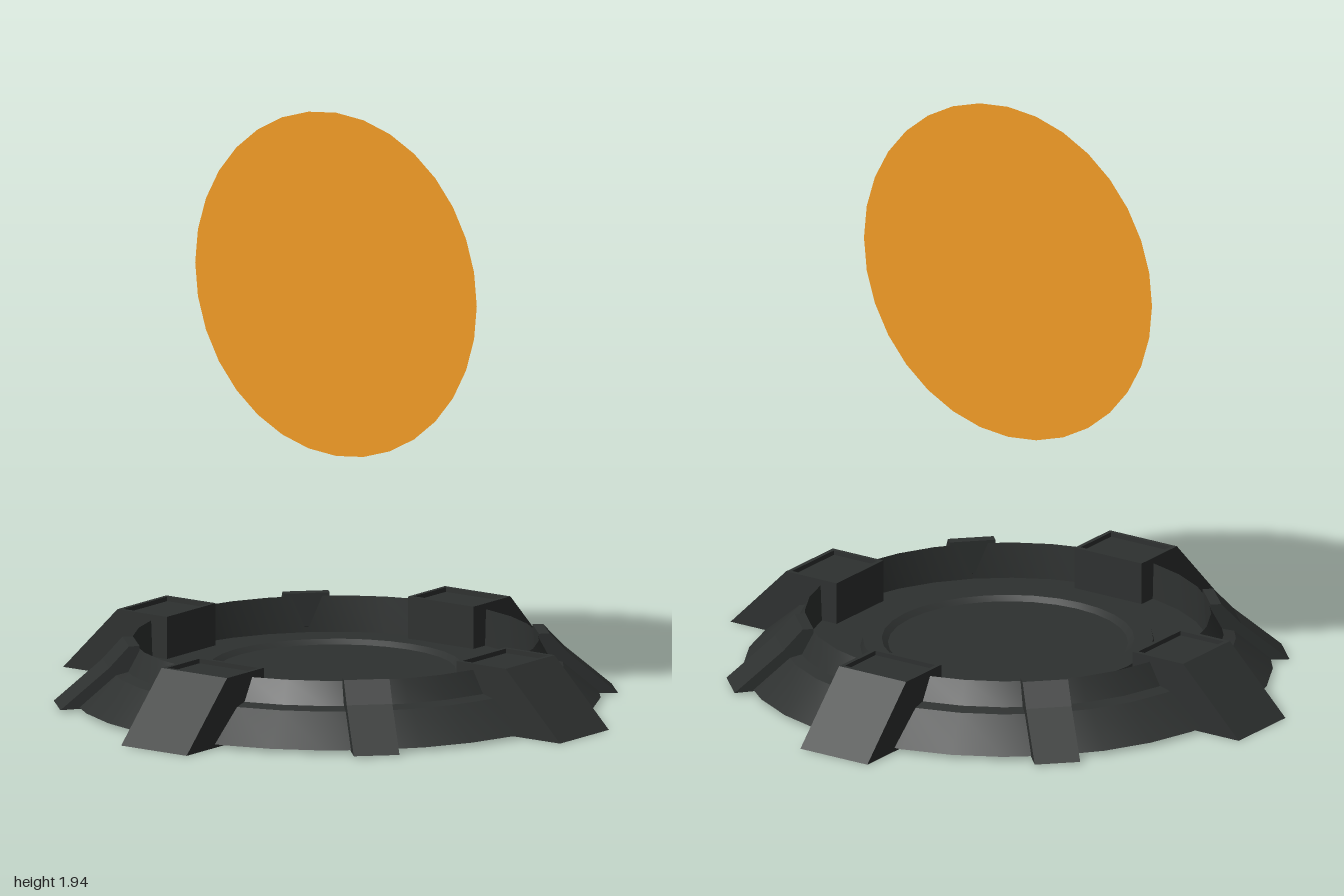
import * as THREE from 'three';
import { toCreasedNormals } from 'three/addons/utils/BufferGeometryUtils.js';

const dark = new THREE.MeshStandardMaterial({ color: 0x2e3130 });
const orange = new THREE.MeshStandardMaterial({ color: 0xf09a25, side: THREE.DoubleSide });

const toPoints = (list) => list.map(([x, y]) => new THREE.Vector2(x, y));

// Radial profile (radius, height) extruded across its width
function radialSlab(profile, width, offset = 0) {
  const geo = new THREE.ExtrudeGeometry(new THREE.Shape(toPoints(profile)), {
    depth: width, bevelEnabled: false,
  });
  return geo.translate(0, 0, offset - width / 2);
}

function addMesh(parent, name, geometry, material = dark) {
  const mesh = new THREE.Mesh(geometry, material);
  mesh.name = name;
  parent.add(mesh);
  return mesh;
}

export function createModel() {
  const model = new THREE.Group();
  model.name = 'pad';

  // Round base: sloped skirt, ledge, rim, sunken floor and raised ring
  const baseProfile = toPoints([
    [0, 0.012], [0.86, 0.012], [0.74, 0.115], [0.7, 0.125], [0.66, 0.2],
    [0.655, 0.08], [0.48, 0.08], [0.472, 0.11], [0.41, 0.11], [0.39, 0.095], [0, 0.095],
  ]);
  addMesh(model, 'base', toCreasedNormals(new THREE.LatheGeometry(baseProfile, 32), 0.35));

  // Large clamps, with a shallow tray in the top
  const clampWidth = 0.265, clampOffset = -0.008, lip = 0.014;
  const clampGeo = radialSlab([
    [0.58, 0], [1, 0], [0.78, 0.22], [0.766, 0.22], [0.766, 0.205],
    [0.594, 0.205], [0.594, 0.22], [0.58, 0.22],
  ], clampWidth, clampOffset);
  const lipGeo = new THREE.BoxGeometry(0.172, 0.015, lip);

  // Small braces that bend over the rim
  const braceGeo = radialSlab([
    [0.7, 0.014], [0.915, 0.005], [0.755, 0.14], [0.69, 0.21], [0.655, 0.21], [0.655, 0.1],
  ], 0.15);

  for (let i = 0; i < 4; i++) {
    const clamp = new THREE.Group();
    clamp.name = 'clamp';
    addMesh(clamp, 'clampBody', clampGeo);
    for (const side of [-1, 1]) {
      addMesh(clamp, 'clampLip', lipGeo)
        .position.set(0.68, 0.2125, clampOffset + side * (clampWidth - lip) / 2);
    }
    clamp.rotation.y = i * Math.PI / 2;
    model.add(clamp);

    addMesh(model, 'brace', braceGeo).rotation.y = (i + 0.5) * Math.PI / 2;
  }

  // Flat disc floating above the base
  addMesh(model, 'floatingDisc', new THREE.CircleGeometry(0.57, 32), orange).position.y = 1.375;

  return model;
}
